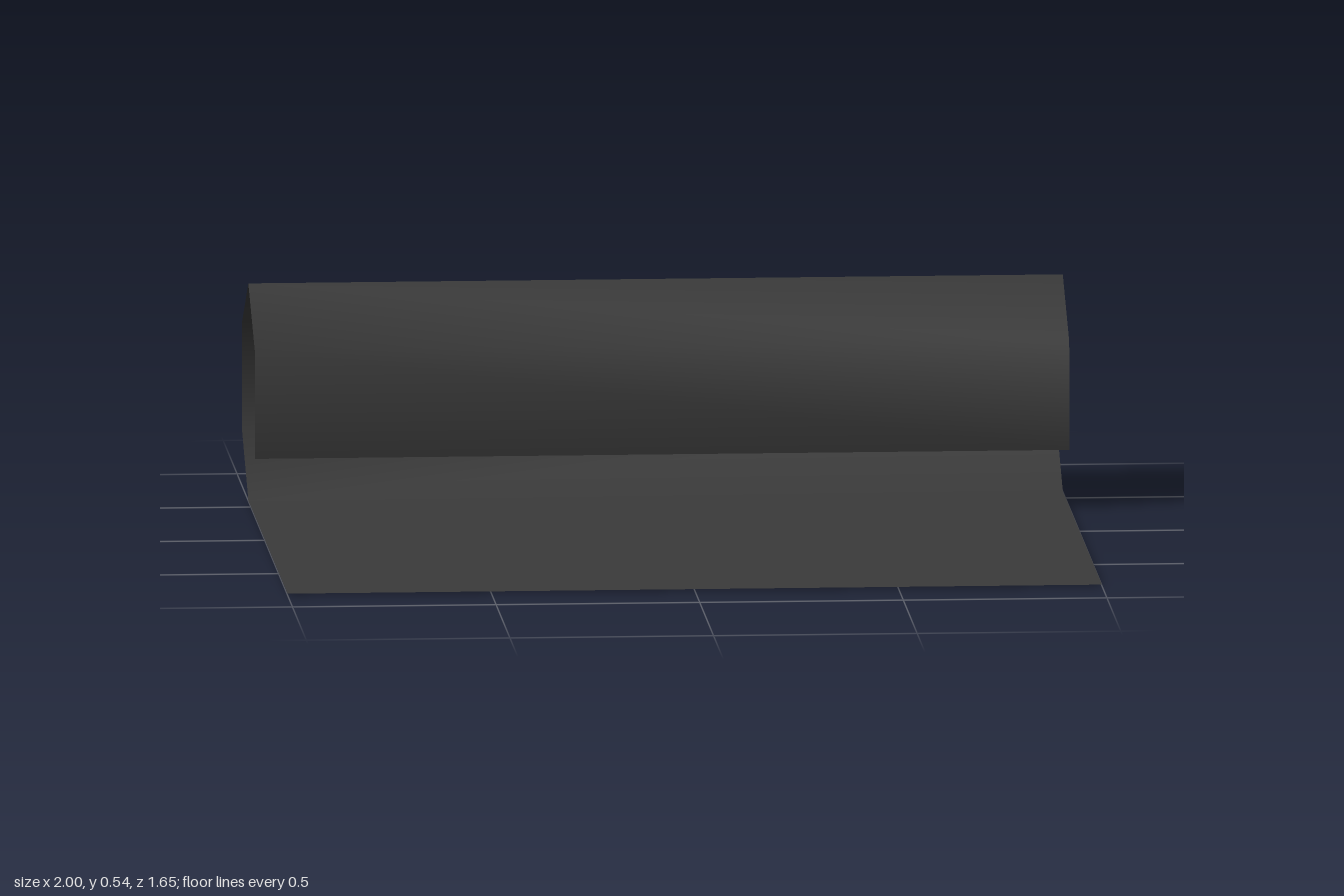
import * as THREE from 'three';

// Side profile of the sheet as [z, y], from the front edge to the free end of the roll
const PROFILE = [
  [0.825, 0.006], [-0.5, 0.004], [-0.59, 0.002], [-0.82, 0.14],
  [-0.824, 0.406], [-0.593, 0.542], [-0.36, 0.414], [-0.352, 0.146],
];
const HALF_WIDTH = 1;

// Sweeps the open profile across the width with shared, smooth normals
function sweepSheet(profile, halfWidth) {
  const positions = [];
  const indices = [];
  profile.forEach(([z, y], i) => {
    positions.push(-halfWidth, y, z, halfWidth, y, z);
    if (i === 0) return;
    const a = (i - 1) * 2;
    indices.push(a, a + 1, a + 3, a, a + 3, a + 2);
  });
  const geometry = new THREE.BufferGeometry();
  geometry.setAttribute('position', new THREE.Float32BufferAttribute(positions, 3));
  geometry.setIndex(indices);
  geometry.computeVertexNormals();
  return geometry;
}

export function createModel() {
  const group = new THREE.Group();
  group.name = 'rolledMat';

  // Flat mat whose back end curls into a six-sided roll
  const material = new THREE.MeshStandardMaterial({ color: 0x3a3a3a, side: THREE.DoubleSide });
  const mat = new THREE.Mesh(sweepSheet(PROFILE, HALF_WIDTH), material);
  mat.name = 'matSheet';
  group.add(mat);

  // Rest on the ground
  mat.position.y = -0.002;
  return group;
}
